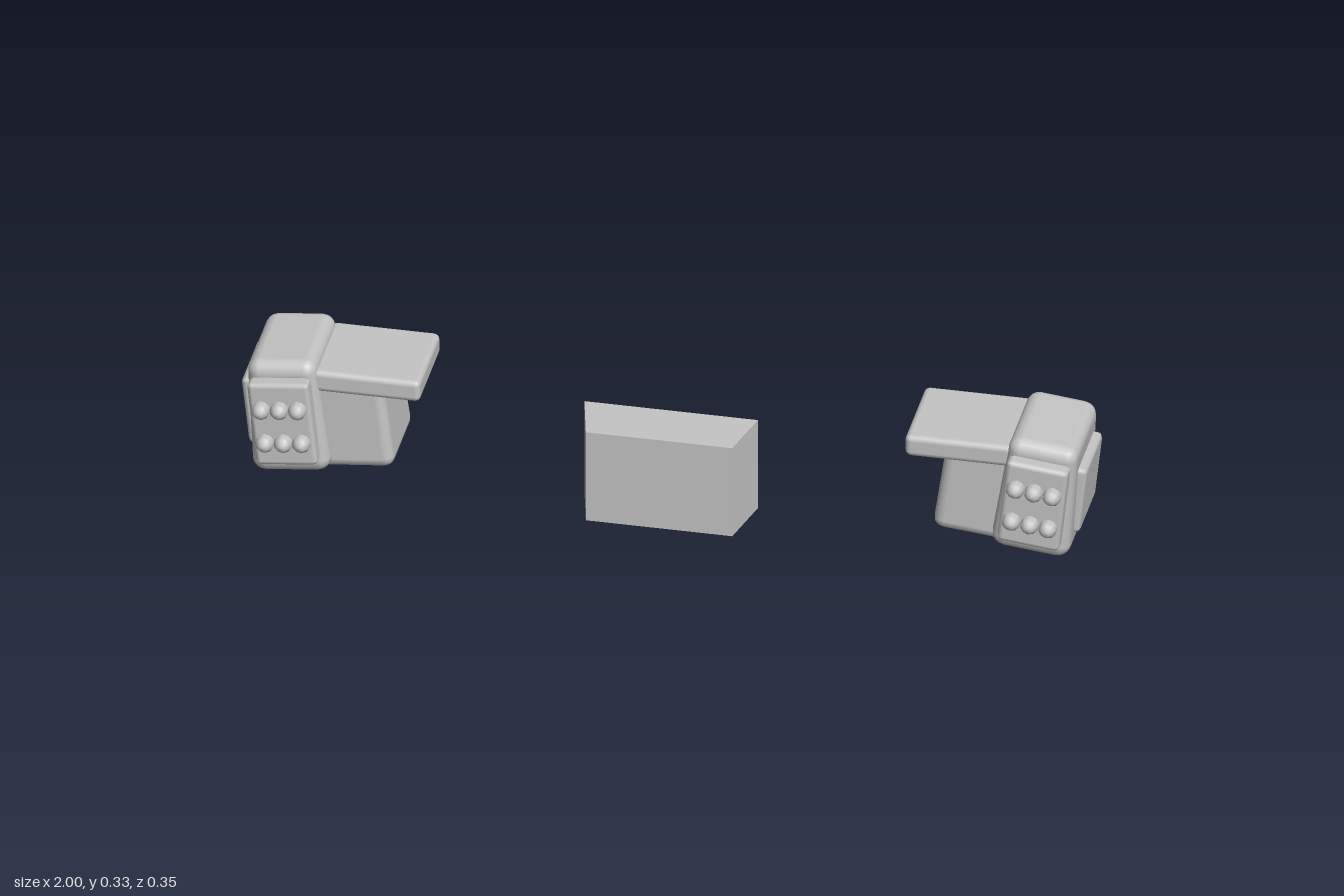
import * as THREE from 'three';
import { RoundedBoxGeometry } from 'three/addons/geometries/RoundedBoxGeometry.js';

const grey = new THREE.MeshStandardMaterial({ color: 0xc4c4c4 });
grey.name = 'light grey';

function add(parent, name, geometry, x, y, z) {
  const mesh = new THREE.Mesh(geometry, grey);
  mesh.name = name;
  mesh.position.set(x, y, z);
  parent.add(mesh);
  return mesh;
}

// Rounded box whose width and depth change linearly from bottom to top
function taperedBox(w, h, d, radius, bottom, top) {
  const g = new RoundedBoxGeometry(w, h, d, 2, radius);
  const p = g.attributes.position;
  for (let i = 0; i < p.count; i++) {
    const k = THREE.MathUtils.lerp(bottom, top, p.getY(i) / h + 0.5);
    p.setX(i, p.getX(i) * k);
    p.setZ(i, p.getZ(i) * k);
  }
  return g;
}

// Blunt rocket nose pointing to +z
function rocketGeometry() {
  const profile = [[0.021, -0.01], [0.021, 0.014], [0.016, 0.022], [0.009, 0.03], [0, 0.031]];
  const g = new THREE.LatheGeometry(profile.map(([r, y]) => new THREE.Vector2(r, y)), 10);
  return g.rotateX(Math.PI / 2);
}

function createSide(s) {
  const side = new THREE.Group();
  side.name = s > 0 ? 'leftShoulder' : 'rightShoulder';

  // Outer launcher pod, leaning outwards
  const pod = new THREE.Group();
  pod.name = 'launcherPod';
  pod.position.set(0.886 * s, 0.178, -0.026);
  pod.rotation.z = -0.11 * s;
  side.add(pod);
  add(pod, 'podBody', taperedBox(0.176, 0.285, 0.273, 0.032, 1.08, 0.925), 0, 0, 0);
  add(pod, 'sidePlate', new RoundedBoxGeometry(0.04, 0.174, 0.185, 1, 0.012), 0.086 * s, -0.006, 0.0015);
  add(pod, 'launchPlate', new RoundedBoxGeometry(0.147, 0.218, 0.044, 1, 0.012), 0, 0.003, 0.149);

  // Two rows of three rockets
  const rocket = rocketGeometry();
  for (const y of [-0.041, 0.047]) {
    for (const x of [-0.0435, 0, 0.0435]) add(pod, 'rocket', rocket, x, y, 0.171);
  }

  // Inner block and the flat slab above it
  const block = add(side, 'innerBlock', taperedBox(0.19, 0.235, 0.215, 0.025, 1.05, 0.95), 0.745 * s, 0.163, -0.03);
  block.rotation.z = -0.1 * s;
  add(side, 'topSlab', new RoundedBoxGeometry(0.255, 0.055, 0.235, 2, 0.014), 0.7 * s, 0.273, -0.03);
  return side;
}

export function createModel() {
  const model = new THREE.Group();
  model.name = 'shoulderLaunchers';
  model.add(createSide(1), createSide(-1));

  // Central block, narrower at the front
  const centre = new THREE.BoxGeometry(0.41, 0.238, 0.135);
  const p = centre.attributes.position;
  for (let i = 0; i < p.count; i++) if (p.getZ(i) > 0) p.setX(i, Math.sign(p.getX(i)) * 0.173);
  centre.computeVertexNormals();
  add(model, 'centreBlock', centre, 0, 0.119, 0.053);
  return model;
}
